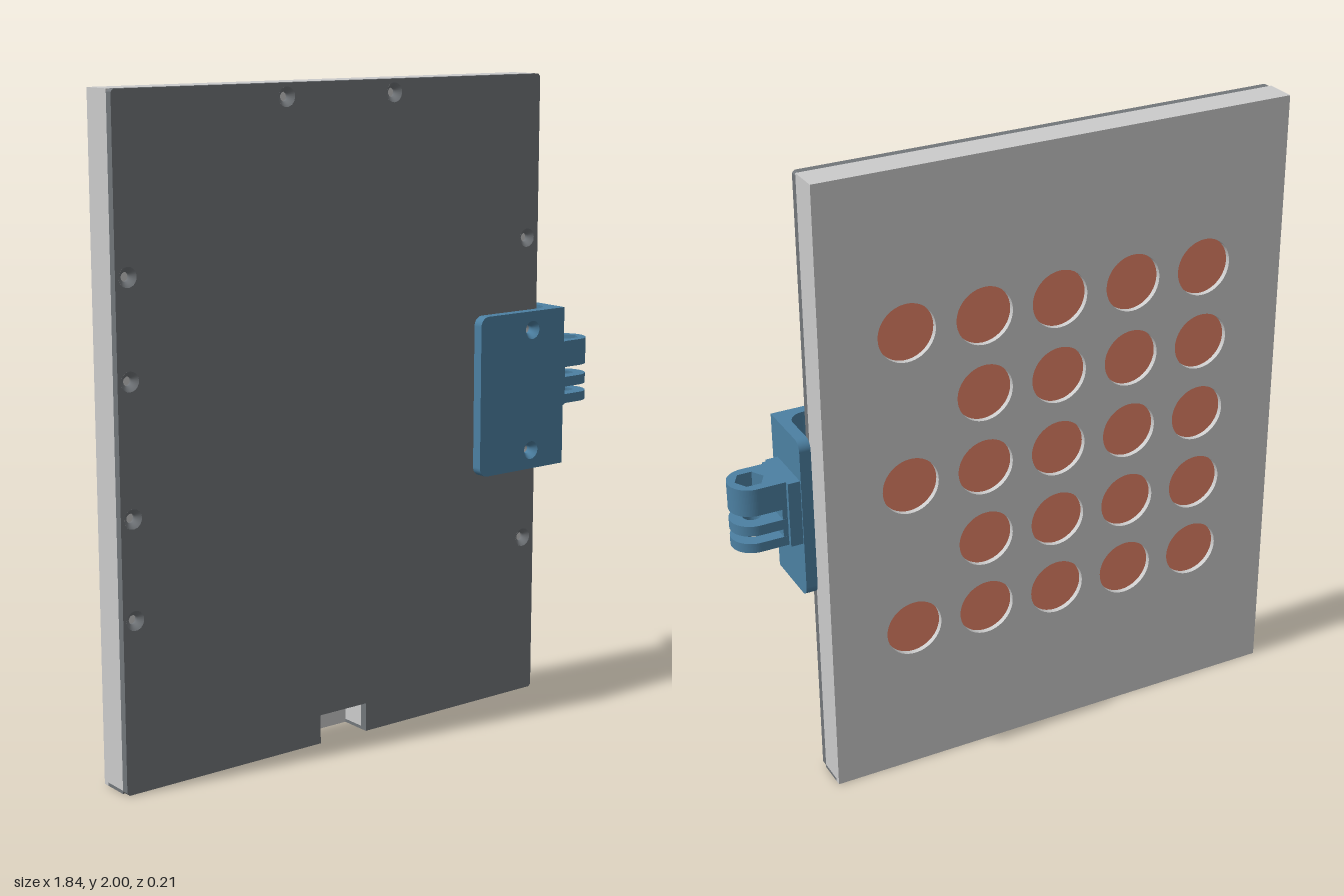
import * as THREE from 'three';

const material = (color) => new THREE.MeshStandardMaterial({ color });
const grey = material(0xcccccc), dark = material(0x72767a), blue = material(0x4c80a2), copper = material(0xe88468);

const NOTCH = { x0: -0.23, x1: -0.055, top: 0.09 };

function add(group, name, geometry, mat) {
  const mesh = new THREE.Mesh(geometry, mat);
  mesh.name = name;
  group.add(mesh);
  return mesh;
}

const extrude = (shape, depth) =>
  new THREE.ExtrudeGeometry(shape, { depth, bevelEnabled: false, curveSegments: 24 });

// Extrude a front-facing outline between two z values
const extrudeZ = (shape, z0, z1) => extrude(shape, z1 - z0).translate(0, 0, z0);
// Extrude an (x, -z) outline between two heights
const extrudeY = (shape, y0, y1) => extrude(shape, y1 - y0).rotateX(-Math.PI / 2).translate(0, y0, 0);
// Extrude a (-z, y) outline between two x values
const extrudeX = (shape, x0, x1) => extrude(shape, x1 - x0).rotateY(Math.PI / 2).translate(x0, 0, 0);

// Rectangle with separate radii for its left and right corners
function roundRect(x0, y0, x1, y1, rl, rr) {
  const s = new THREE.Shape();
  s.moveTo(x0 + rl, y0);
  s.lineTo(x1 - rr, y0);
  if (rr) s.absarc(x1 - rr, y0 + rr, rr, -Math.PI / 2, 0);
  s.lineTo(x1, y1 - rr);
  if (rr) s.absarc(x1 - rr, y1 - rr, rr, 0, Math.PI / 2);
  s.lineTo(x0 + rl, y1);
  if (rl) s.absarc(x0 + rl, y1 - rl, rl, Math.PI / 2, Math.PI);
  s.lineTo(x0, y0 + rl);
  if (rl) s.absarc(x0 + rl, y0 + rl, rl, Math.PI, Math.PI * 1.5);
  return s;
}

// Panel outline with the cable notch in its bottom edge
function notchedPanel(y0, corner) {
  const s = new THREE.Shape();
  const pts = [[-0.92 + corner, y0], [NOTCH.x0, y0], [NOTCH.x0, NOTCH.top], [NOTCH.x1, NOTCH.top], [NOTCH.x1, y0],
    [0.635 - corner, y0], [0.635, y0 + corner], [0.635, 2 - corner], [0.635 - corner, 2],
    [-0.92 + corner, 2], [-0.92, 2 - corner], [-0.92, y0 + corner]];
  s.setFromPoints(pts.map(([x, y]) => new THREE.Vector2(x, y)));
  return s;
}

function cutHole(shape, x, y, r) {
  shape.holes.push(new THREE.Path().absarc(x, y, r, 0, Math.PI * 2, true));
}

// Conical screw seat lining a hole, wide end at the front
function countersink(group, x, y, front, depth, mat) {
  const profile = [[0.014, -depth], [0.014, -depth * 0.55], [0.029, 0]].map(([r, h]) => new THREE.Vector2(r, h));
  const lining = mat.clone();
  lining.side = THREE.DoubleSide;
  add(group, 'screwSeat', new THREE.LatheGeometry(profile, 24).rotateX(Math.PI / 2).translate(x, y, front), lining);
}

function buildPanel() {
  const panel = new THREE.Group();
  panel.name = 'panel';
  add(panel, 'bodyFrame', extrudeZ(notchedPanel(0.01, 0), -0.035, 0.045), grey);

  // Dark strips closing the bottom edge on both sides of the notch
  for (const [x0, x1] of [[-0.92, NOTCH.x0], [NOTCH.x1, 0.635]])
    add(panel, 'bottomStrip', new THREE.BoxGeometry(x1 - x0, 0.01, 0.08).translate((x0 + x1) / 2, 0.005, 0.005), dark);

  // Back sheet with round windows and the copper discs seen in them
  const back = roundRect(-0.92, 0, 0.635, 2, 0, 0);
  for (let col = 0; col < 5; col++) {
    for (let row = 0; row < 5; row++) {
      if (col === 0 && row % 2) continue;
      const x = 0.36 - col * 0.25, y = 0.5 + row * 0.25;
      cutHole(back, x, y, 0.092);
      add(panel, 'copperDisc', new THREE.CylinderGeometry(0.091, 0.091, 0.006, 40)
        .rotateX(Math.PI / 2).translate(x, y, -0.037), copper);
    }
  }
  add(panel, 'backSheet', extrudeZ(back, -0.055, -0.035), grey);

  // Front cover with countersunk screw holes
  const cover = notchedPanel(0, 0.008);
  const screws = [[-0.34, 1.96], [0.052, 1.96], [0.59, 1.49], [0.59, 0.515]];
  for (const y of [1.49, 1.2, 0.81, 0.515]) screws.push([-0.88, y]);
  for (const [x, y] of screws) {
    cutHole(cover, x, y, 0.029);
    countersink(panel, x, y, 0.069, 0.024, dark);
  }
  for (const y of [1.2, 0.81]) cutHole(cover, 0.59, y, 0.014);
  add(panel, 'frontCover', extrudeZ(cover, 0.045, 0.069), dark);
  return panel;
}

function buildBracket() {
  const bracket = new THREE.Group();
  bracket.name = 'mountBracket';
  const y0 = 0.75, y1 = 1.26;

  // Front plate screwed to the cover
  const plate = roundRect(0.375, y0, 0.727, y1, 0.03, 0);
  for (const y of [1.2, 0.81]) {
    cutHole(plate, 0.59, y, 0.029);
    countersink(bracket, 0.59, y, 0.102, 0.033, blue);
  }
  add(bracket, 'frontPlate', extrudeZ(plate, 0.069, 0.102), blue);

  // Side wing and the fillet in its inner corner
  add(bracket, 'sideWing', extrudeX(roundRect(-0.069, y0, 0.105, y1, 0, 0.03), 0.692, 0.727), blue);
  const fillet = new THREE.Shape();
  fillet.moveTo(0.642, -0.069);
  fillet.lineTo(0.692, -0.069);
  fillet.lineTo(0.692, -0.019);
  fillet.absarc(0.642, -0.019, 0.05, 0, -Math.PI / 2, true);
  add(bracket, 'innerFillet', extrudeY(fillet, y0, y1), blue);

  // Stepped base of the hinge
  const box = (name, xa, xb, za, zb) => add(bracket, name,
    new THREE.BoxGeometry(xb - xa, 0.206, zb - za).translate((xa + xb) / 2, 1.033, (za + zb) / 2), blue);
  box('hingeBase', 0.727, 0.765, -0.1, 0.066);
  box('hingeBaseStep', 0.765, 0.78, -0.085, 0.055);

  // Three rounded prongs; the thick top one ends in a collar with a hexagonal nut pocket
  const cx = 0.85, cy = 0.02, r = 0.066;
  const prong = (ya, yb, hexPocket) => {
    const s = new THREE.Shape();
    s.moveTo(0.765, cy - r);
    s.lineTo(cx, cy - r);
    s.absarc(cx, cy, r, -Math.PI / 2, Math.PI / 2);
    s.lineTo(0.765, cy + r);
    s.closePath();
    if (hexPocket) {
      const corners = [];
      for (let i = 0; i < 6; i++) {
        const a = -i * Math.PI / 3;
        corners.push(new THREE.Vector2(cx + 0.044 * Math.cos(a), cy + 0.044 * Math.sin(a)));
      }
      s.holes.push(new THREE.Path(corners));
    } else cutHole(s, cx, cy, 0.027);
    add(bracket, hexPocket ? 'nutPocket' : 'hingeProng', extrudeY(s, ya, yb), blue);
  };
  prong(0.93, 0.96);
  prong(0.985, 1.017);
  prong(1.05, 1.09);
  prong(1.09, 1.136, true);
  return bracket;
}

export function createModel() {
  const model = new THREE.Group();
  model.name = 'panelWithMount';
  model.add(buildPanel(), buildBracket());
  return model;
}
